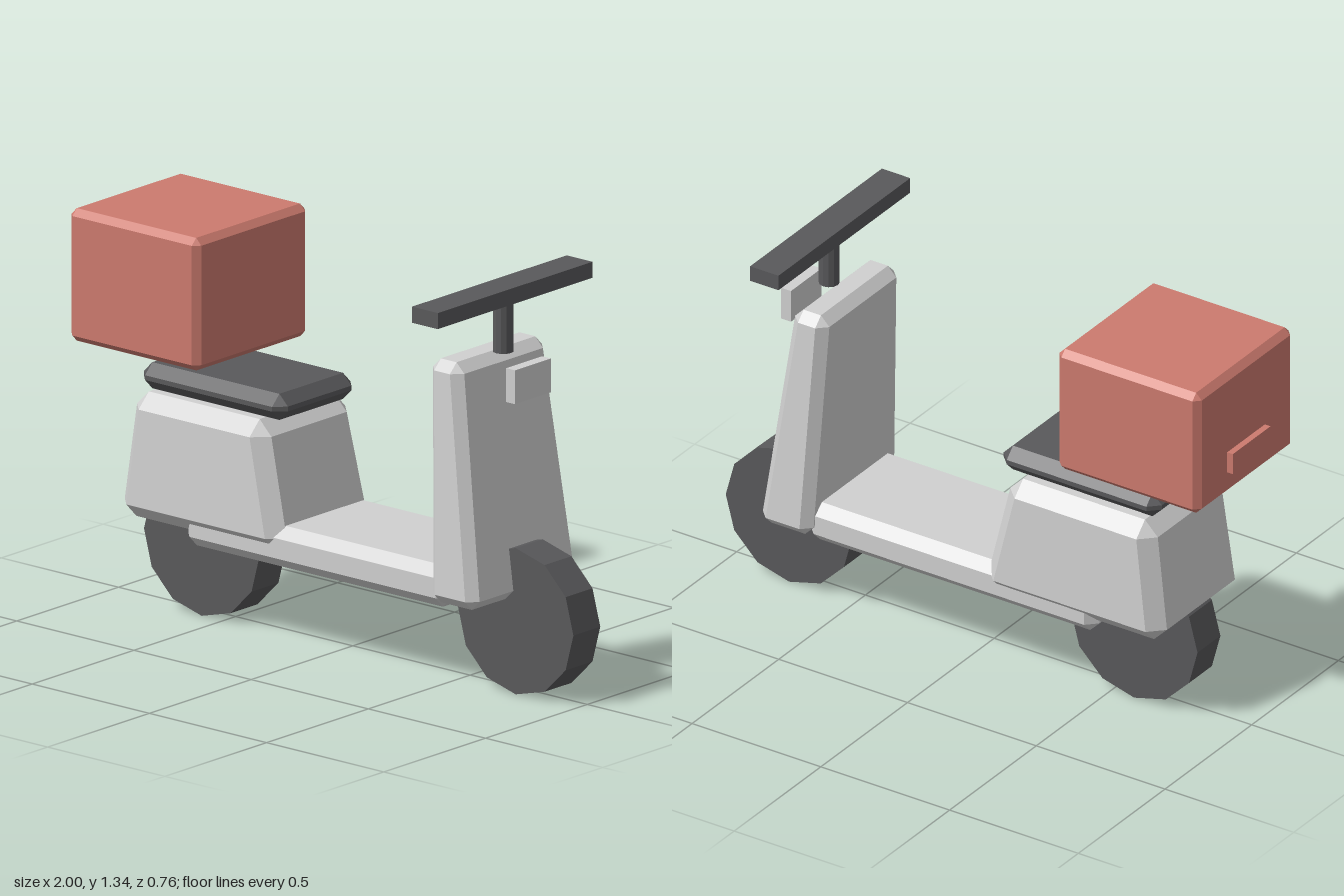
import * as THREE from 'three';
import { ConvexGeometry } from 'three/addons/geometries/ConvexGeometry.js';

// Tapered box with chamfered edges; each end is { x0, x1, y, hz }.
function chamferBox(bottom, top, c) {
  const points = [];
  for (const [end, dir] of [[bottom, 1], [top, -1]]) {
    for (const sx of [-1, 1]) {
      const x = sx < 0 ? end.x0 : end.x1;
      for (const sz of [-1, 1]) {
        points.push(
          new THREE.Vector3(x - sx * c, end.y, sz * (end.hz - c)),
          new THREE.Vector3(x, end.y + dir * c, sz * (end.hz - c)),
          new THREE.Vector3(x - sx * c, end.y + dir * c, sz * end.hz)
        );
      }
    }
  }
  return new ConvexGeometry(points);
}

// Straight chamfered box
function evenBox(x0, x1, y0, y1, hz, c) {
  return chamferBox({ x0, x1, y: y0, hz }, { x0, x1, y: y1, hz }, c);
}

// Sharp box from its extents
function plainBox(x0, x1, y0, y1, hz) {
  return new THREE.BoxGeometry(x1 - x0, y1 - y0, hz * 2)
    .translate((x0 + x1) / 2, (y0 + y1) / 2, 0);
}

export function createModel() {
  const paint = (name, color) => {
    const m = new THREE.MeshStandardMaterial({ color });
    m.name = name;
    m.flatShading = true;
    return m;
  };
  const grey = paint('light grey', 0xd0d0d0);
  const dark = paint('dark grey', 0x59595b);
  const red = paint('brick red', 0xcc7a6e);

  const group = new THREE.Group();
  group.name = 'scooter';
  const add = (name, geometry, material) => {
    const mesh = new THREE.Mesh(geometry, material);
    mesh.name = name;
    group.add(mesh);
    return mesh;
  };

  // Wheels
  for (const [name, x] of [['rearWheel', -0.588], ['frontWheel', 0.752]]) {
    const wheel = new THREE.CylinderGeometry(0.246, 0.246, 0.132, 12).rotateX(Math.PI / 2);
    add(name, wheel, dark).position.set(x, 0.248, 0);
  }

  // Body shell
  add('floorboard', evenBox(-0.537, 0.585, 0.285, 0.425, 0.226, 0.036), grey);
  add('rearBody', chamferBox(
    { x0: -0.803, x1: -0.112, y: 0.335, hz: 0.246 },
    { x0: -0.76, x1: -0.187, y: 0.76, hz: 0.235 }, 0.05), grey);
  add('legShield', chamferBox(
    { x0: 0.545, x1: 0.742, y: 0.315, hz: 0.265 },
    { x0: 0.51, x1: 0.643, y: 1.12, hz: 0.226 }, 0.033), grey);
  add('headlight', plainBox(0.73, 0.768, 0.986, 1.1, 0.088), grey);

  // Seat
  add('seat', evenBox(-0.756, -0.142, 0.762, 0.85, 0.192, 0.036), dark);

  // Steering
  add('steeringStem', new THREE.CylinderGeometry(0.034, 0.034, 0.18, 12), dark)
    .position.set(0.641, 1.21, 0);
  add('handlebar', plainBox(0.582, 0.692, 1.29, 1.344, 0.38), dark);

  // Delivery box with its rear latch
  add('cargoBox', evenBox(-0.978, -0.425, 0.898, 1.344, 0.277, 0.022), red);
  add('cargoLatch', plainBox(-1, -0.97, 0.986, 1.06, 0.109), red);

  return group;
}
